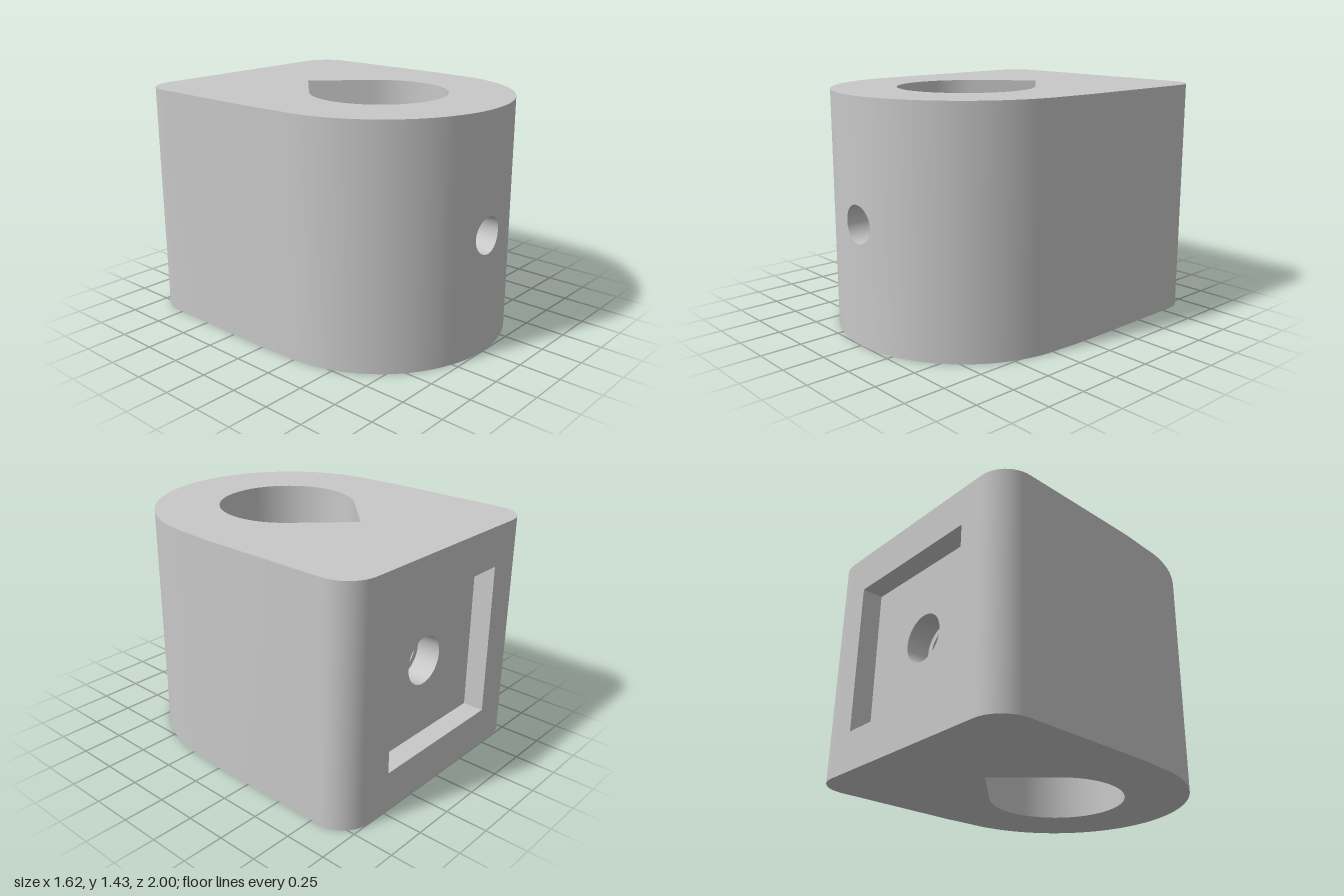
import * as THREE from 'three';
import { mergeGeometries, toCreasedNormals } from 'three/addons/utils/BufferGeometryUtils.js';

const H = 1.43, MID = H / 2;      // block height and bore axis height
const ZC = 0.2, R = 0.8, RI = 0.412; // rounded nose and teardrop opening
const APEX = ZC - RI * Math.SQRT2;
const FLOOR = -0.87, STEP = -0.72;  // square pocket floor, bore shoulder

// Grid of quads; fn(u, v) returns a point, flip reverses the facing
function grid(nu, nv, fn, flip) {
  const pos = [], idx = [];
  for (let j = 0; j <= nv; j++)
    for (let i = 0; i <= nu; i++) pos.push(...fn(i / nu, j / nv));
  for (let j = 0; j < nv; j++) {
    for (let i = 0; i < nu; i++) {
      const a = j * (nu + 1) + i, b = a + 1, d = a + nu + 1, c = d + 1;
      if (flip) idx.push(a, c, b, a, d, c);
      else idx.push(a, b, c, a, c, d);
    }
  }
  const g = new THREE.BufferGeometry();
  g.setAttribute('position', new THREE.Float32BufferAttribute(pos, 3));
  g.setIndex(idx);
  return g;
}

// Closed profiles around the bore axis
const circle = (r) => (t) => [r * Math.cos(t), r * Math.sin(t)];
const rect = (w, h) => (t) => {
  const c = Math.cos(t), s = Math.sin(t), m = Math.max(Math.abs(c), Math.abs(s));
  return [(w * c) / m, (h * s) / m];
};

// Band from profile P on surface z = fP(x) to profile Q on surface z = fQ(x)
function band(P, Q, fP, fQ, flip, steps = 8) {
  return grid(64, steps, (u, v) => {
    const p = P(u * Math.PI * 2), q = Q(u * Math.PI * 2);
    const x = p[0] + (q[0] - p[0]) * v, y = p[1] + (q[1] - p[1]) * v;
    return [x, MID + y, fP(x) * (1 - v) + fQ(x) * v];
  }, flip);
}

// Upright wall along a path of [x, z] points
const wall = (path, side, flip) => grid(path.length - 1, 1, (u, v) => {
  const p = path[Math.round(u * (path.length - 1))];
  return [p[0] * side, v * H, p[1]];
}, flip);

function arc(cx, cz, r, from, to, n) {
  return Array.from({ length: n + 1 }, (_, i) => {
    const a = from + ((to - from) * i) / n;
    return [cx + r * Math.cos(a), cz + r * Math.sin(a)];
  });
}

export function createModel() {
  const grey = new THREE.MeshStandardMaterial({ color: 0xc8c8c8 });
  grey.name = 'plain grey';
  const group = new THREE.Group();
  group.name = 'mountingBlock';
  const add = (name, parts) => {
    const flat = parts.map((g) => {
      const p = g.index ? g.toNonIndexed() : g;
      p.deleteAttribute('uv');
      p.deleteAttribute('normal');
      return p;
    });
    const mesh = new THREE.Mesh(toCreasedNormals(mergeGeometries(flat), 0.4), grey);
    mesh.name = name;
    group.add(mesh);
  };

  // Surfaces the bore passes through
  const nose = (x) => ZC + Math.sqrt(R * R - x * x);
  const inner = (x) => ZC + Math.sqrt(RI * RI - x * x);
  const vee = (x) => APEX + Math.abs(x);
  const at = (z) => () => z;
  const small = circle(0.112), large = circle(0.148), pocket = rect(0.47, 0.47);
  const wideOuter = 0.3, wideInner = 0.2, cornerR = 0.19, halfW = 0.812;

  // Half outlines, running from front to back on the +x side
  const outer = [
    ...arc(0, ZC, R, Math.acos(wideOuter / R), 0, 28),
    [halfW, 0],
    ...arc(halfW - cornerR, -1 + cornerR, cornerR, 0, -Math.PI / 2, 12),
  ];
  const opening = [
    ...arc(0, ZC, RI, Math.acos(wideInner / RI), -Math.PI / 4, 28),
    [wideInner, vee(wideInner)],
  ];

  add('outerWall', [
    wall(outer, 1, false),
    wall(outer, -1, true),
    band(small, rect(wideOuter, MID), nose, nose, true),
    band(pocket, rect(halfW - cornerR, MID), at(-1), at(-1), false, 1),
  ]);

  add('teardropOpening', [
    wall(opening, 1, true),
    wall(opening, -1, false),
    band(small, rect(wideInner, MID), inner, inner, false),
    band(small, rect(wideInner, MID), vee, vee, true),
  ]);

  add('squarePocket', [
    band(pocket, pocket, at(-1), at(FLOOR), true, 1),
    band(large, pocket, at(FLOOR), at(FLOOR), false, 1),
  ]);

  add('frontBore', [band(small, small, inner, nose, true, 1)]);
  add('rearBore', [
    band(large, large, at(FLOOR), at(STEP), true, 1),
    band(small, large, at(STEP), at(STEP), false, 1),
    band(small, small, at(STEP), vee, true, 1),
  ]);

  // Top and bottom faces with the teardrop cut out
  const loop = (front, half, back, sign) => [
    ...front, ...half, ...back,
    ...half.slice().reverse().map(([x, z]) => [-x, z]),
  ].map(([x, z]) => new THREE.Vector2(x, z * sign));
  const frontArc = (r, w) => arc(0, ZC, r, Math.PI - Math.acos(w / r), Math.acos(w / r), 16).slice(1, -1);
  const cap = (sign) => {
    const shape = new THREE.Shape(loop(frontArc(R, wideOuter), outer, [], sign));
    shape.holes.push(new THREE.Path(loop(frontArc(RI, wideInner), opening, [[0, APEX]], sign)));
    return new THREE.ShapeGeometry(shape).rotateX((sign * Math.PI) / 2);
  };
  add('topFace', [cap(-1).translate(0, H, 0)]);
  add('bottomFace', [cap(1)]);

  return group;
}
